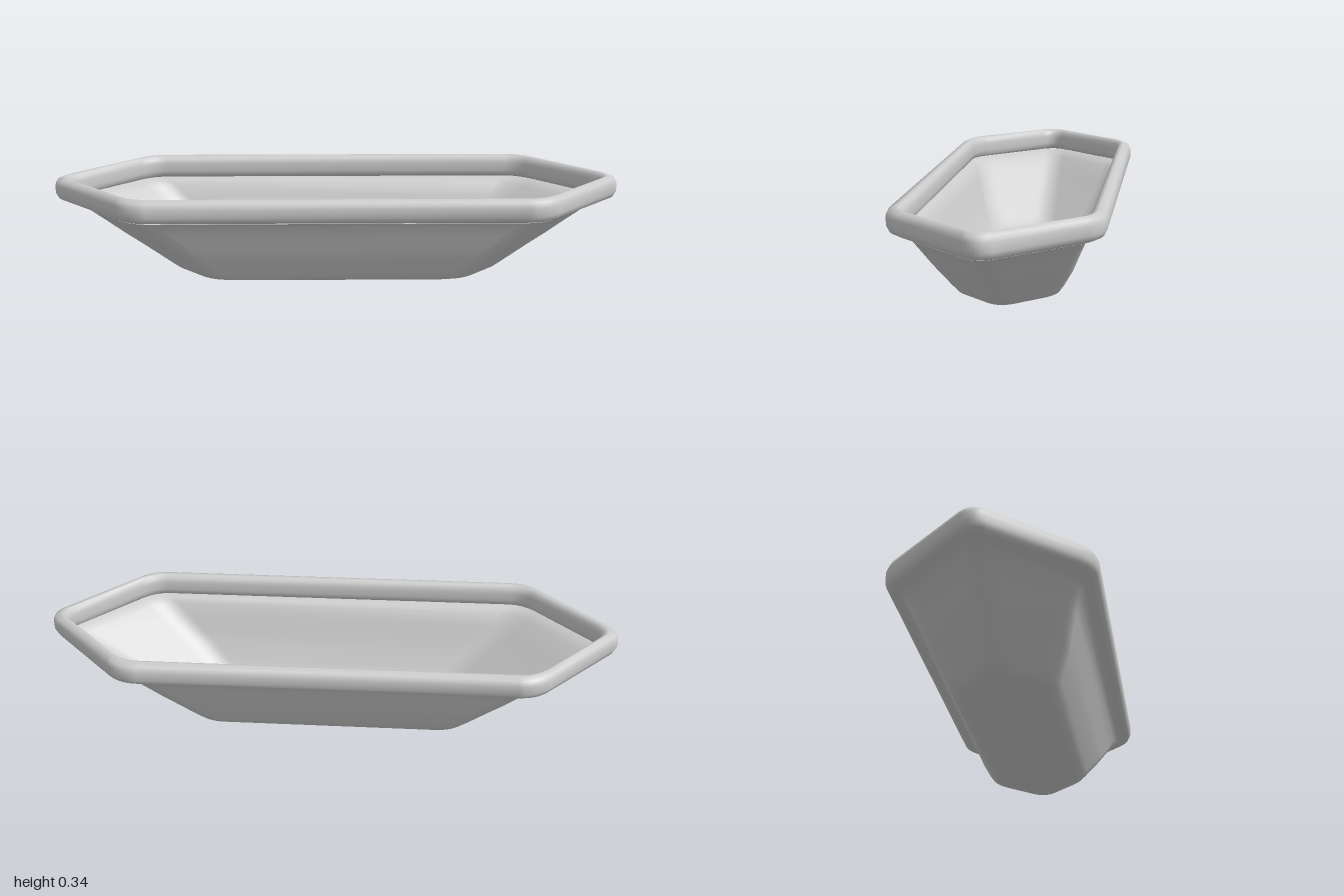
import * as THREE from 'three';

const SLOPE = 0.93; // x run of the slanted ends per unit of z

// Elongated hexagon outline with softly rounded corners, running from +x to +z
function hexRing(y, halfWidth, tip, fillet) {
  if (halfWidth === 0) fillet = 0;
  const sharp = tip === 0 ? 0 : tip + fillet * 0.34;
  const cx = sharp - SLOPE * halfWidth;
  const corners = [[sharp, 0], [cx, halfWidth], [-cx, halfWidth], [-sharp, 0], [-cx, -halfWidth], [cx, -halfWidth]]
    .map(([x, z]) => new THREE.Vector2(x, z));
  const points = [];
  corners.forEach((c, i) => {
    const toward = (n) => n.clone().sub(c).normalize().multiplyScalar(fillet).add(c);
    const start = toward(corners[(i + 5) % 6]);
    const end = toward(corners[(i + 1) % 6]);
    points.push(...new THREE.QuadraticBezierCurve(start, c, end).getPoints(8));
  });
  return points.map((p) => [p.x, y, p.y]);
}

// Skin a stack of equal-sized rings
function loft(rings, closed) {
  const n = rings[0].length;
  const index = [];
  const rows = closed ? rings.length : rings.length - 1;
  for (let i = 0; i < rows; i++) {
    const k = (i + 1) % rings.length;
    for (let j = 0; j < n; j++) {
      const m = (j + 1) % n;
      const a = i * n + j, b = i * n + m, c = k * n + j, d = k * n + m;
      index.push(a, c, b, b, c, d);
    }
  }
  const geometry = new THREE.BufferGeometry();
  geometry.setAttribute('position', new THREE.Float32BufferAttribute(rings.flat(2), 3));
  geometry.setIndex(index);
  geometry.computeVertexNormals();
  return geometry;
}

export function createModel() {
  const group = new THREE.Group();
  group.name = 'tray';
  const material = new THREE.MeshStandardMaterial({ color: 0xcccccc, side: THREE.DoubleSide });
  const add = (name, geometry) => {
    const mesh = new THREE.Mesh(geometry, material);
    mesh.name = name;
    group.add(mesh);
  };

  // Basin: floor and flaring walls as [y, half width, tip x]
  const basin = [
    [0, 0, 0], [0, 0.11, 0.46], [0, 0.148, 0.53], [0.01, 0.172, 0.575], [0.035, 0.188, 0.612],
    [0.1, 0.222, 0.705], [0.14, 0.238, 0.765], [0.19, 0.258, 0.835], [0.235, 0.276, 0.9],
    [0.25, 0.293, 0.935], [0.257, 0.318, 0.965],
  ];
  add('basin', loft(basin.map(([y, w, t]) => hexRing(y, w, t, 0.06)), false));

  // Rim: closed rounded band, section as [y, half width]
  const rim = [
    [0.258, 0.315], [0.267, 0.335], [0.285, 0.344], [0.315, 0.344], [0.333, 0.336], [0.342, 0.315],
    [0.339, 0.304], [0.329, 0.294], [0.313, 0.29], [0.285, 0.29], [0.269, 0.294], [0.26, 0.304],
  ];
  add('rim', loft(rim.map(([y, w]) => hexRing(y, w, 1 - (0.344 - w) * 1.15, 0.06)), true));

  return group;
}
